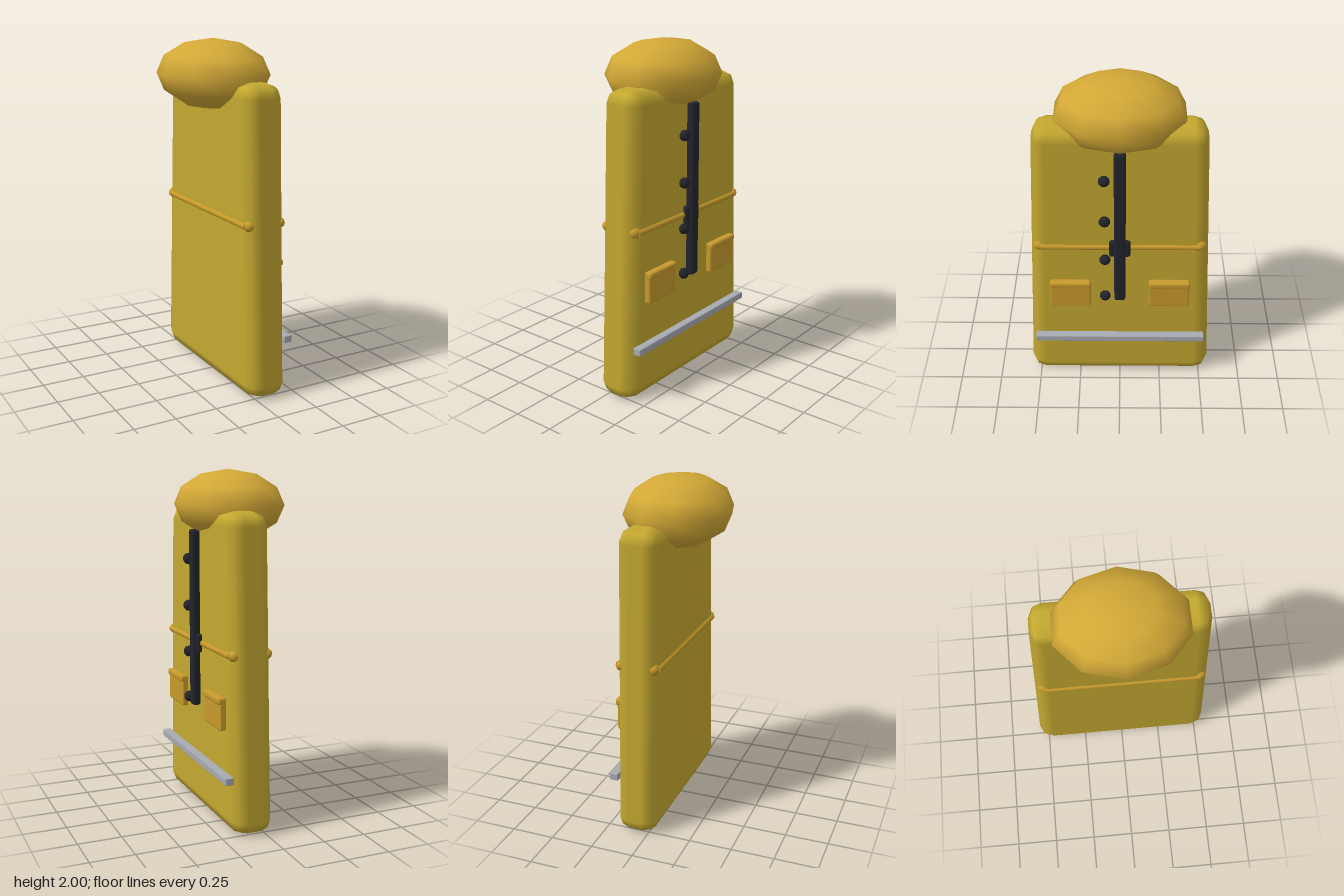
import * as THREE from 'three';
import { RoundedBoxGeometry } from 'three/addons/geometries/RoundedBoxGeometry.js';

const paint = (color) => new THREE.MeshStandardMaterial({ color });

export function createModel() {
  const coat = new THREE.Group();
  coat.name = 'raincoat';
  const cloth = paint(0xc4a830);
  const trim = paint(0xc89a2c);
  const hoodCloth = paint(0xd2a836);
  const dark = paint(0x23242c);
  const silver = paint(0xa8abb2);

  const add = (name, geometry, material, x, y, z) => {
    const mesh = new THREE.Mesh(geometry, material);
    mesh.name = name;
    mesh.position.set(x, y, z);
    coat.add(mesh);
    return mesh;
  };
  // Soft-edged box given by its limits on each axis
  const box = (name, material, [x0, x1], [y0, y1], [z0, z1], r) =>
    add(name, new RoundedBoxGeometry(x1 - x0, y1 - y0, z1 - z0, 1, r), material,
      (x0 + x1) / 2, (y0 + y1) / 2, (z0 + z1) / 2);

  // Body: rounded slab that narrows towards the shoulders
  const bodyGeometry = new RoundedBoxGeometry(0.24, 1.78, 1, 1, 0.08);
  const p = bodyGeometry.attributes.position;
  for (let i = 0; i < p.count; i++) {
    const height = p.getY(i) + 0.89;
    p.setZ(i, p.getZ(i) * 2 * (0.558 - 0.047 * height));
  }
  add('body', bodyGeometry, cloth, 0.07, 0.89, 0);

  // Hood: squashed low-poly ball
  const hood = add('hood', new THREE.SphereGeometry(1, 10, 6), hoodCloth, 0, 1.8, 0);
  hood.scale.set(0.308, 0.2, 0.375);

  // Belt cords on both faces, each with a knot at either end
  for (const side of [-1, 1]) {
    const cord = add('beltCord', new THREE.CylinderGeometry(0.018, 0.018, 0.92, 8), trim,
      0.07 + side * 0.116, 1.015, 0);
    cord.rotation.x = Math.PI / 2;
    for (const end of [-1, 1]) {
      const knot = add('beltKnot', new THREE.SphereGeometry(0.032, 8, 6), trim,
        0.07 + side * 0.096, 1.015, end * 0.46);
      knot.scale.z = 1.2;
    }
  }

  // Placket, buckle and buttons
  box('placket', dark, [0.185, 0.235], [0.64, 1.665], [-0.033, 0.033], 0.015);
  box('buckle', dark, [0.18, 0.218], [0.96, 1.068], [-0.061, 0.061], 0.014);
  for (const y of [0.67, 0.944, 1.217, 1.49]) {
    const button = add('button', new THREE.SphereGeometry(0.033, 10, 6), dark, 0.217, y, 0.086);
    button.rotation.z = -Math.PI / 2;
    button.scale.y = 0.85;
  }

  // Pockets with flaps
  for (const side of [-1, 1]) {
    const at = (inner, outer) => [side * inner, side * outer].sort((a, b) => a - b);
    box('pocket', trim, [0.185, 0.225], [0.588, 0.76], at(0.172, 0.41), 0.01);
    box('pocketFlap', trim, [0.185, 0.236], [0.735, 0.775], at(0.17, 0.412), 0.013);
  }

  // Reflective strip above the hem
  box('reflectiveStrip', silver, [0.186, 0.236], [0.308, 0.35], [-0.513, 0.513], 0.005);

  return coat;
}
